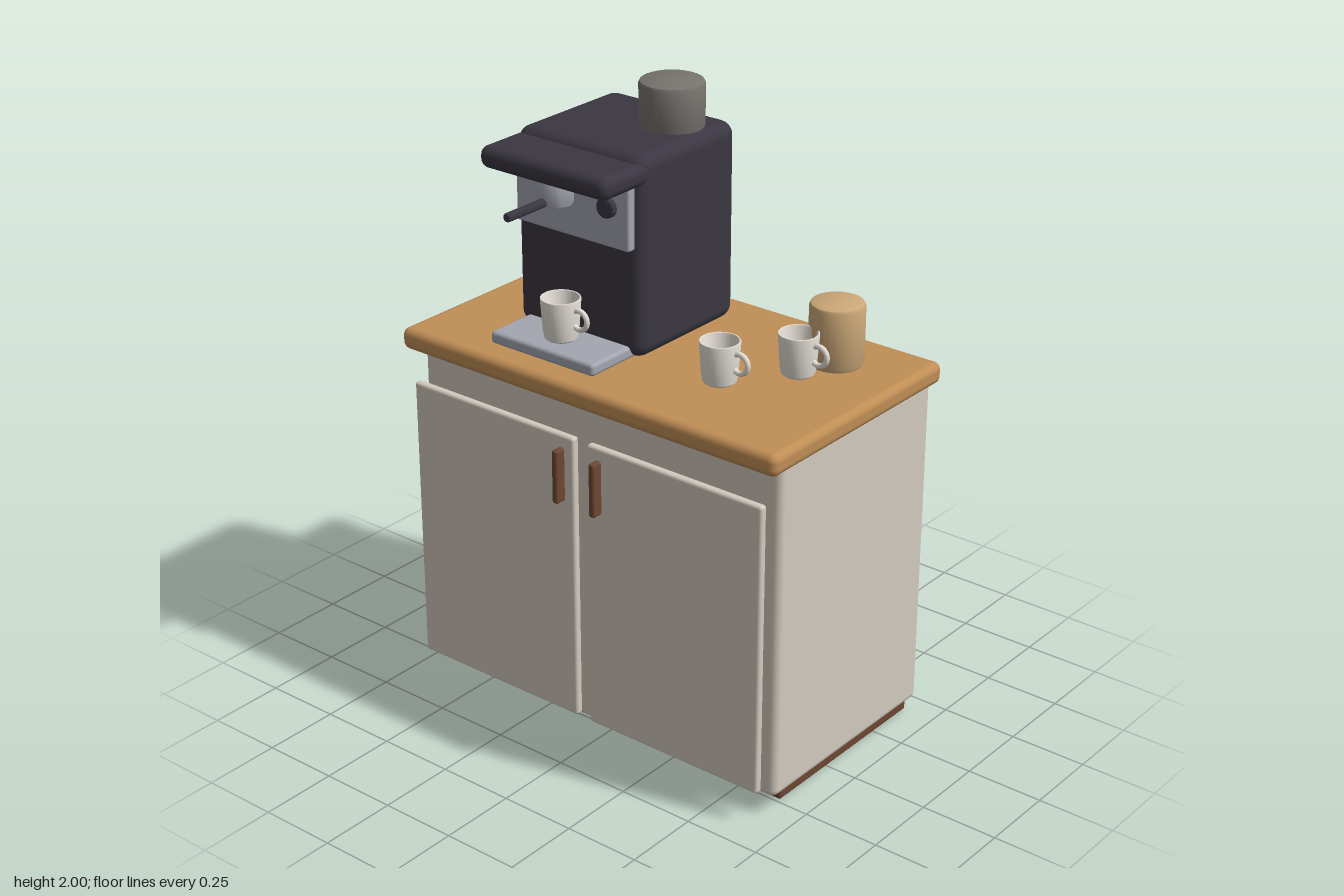
import * as THREE from 'three';
import { RoundedBoxGeometry } from 'three/addons/geometries/RoundedBoxGeometry.js';
import { toCreasedNormals } from 'three/addons/utils/BufferGeometryUtils.js';

const material = (color, options = {}) => new THREE.MeshStandardMaterial({ color, ...options });
const wood = material(0xc08e56);
const cream = material(0xd3cbbf);
const brown = material(0x6e4633);
const dark = material(0x3b3742);
const steel = material(0xa3a6b0);
const smoke = material(0x77746f);
const tan = material(0xcba878);
const china = material(0xe4dfd6, { side: THREE.DoubleSide });
const amber = material(0xd08c22);

function add(parent, name, geometry, mat, x = 0, y = 0, z = 0) {
  const mesh = new THREE.Mesh(geometry, mat);
  mesh.name = name;
  mesh.position.set(x, y, z);
  parent.add(mesh);
  return mesh;
}

// Rounded box given by its limits on each axis
function block(parent, name, mat, [x0, x1], [y0, y1], [z0, z1], radius) {
  const geometry = new RoundedBoxGeometry(x1 - x0, y1 - y0, z1 - z0, 3, radius);
  return add(parent, name, geometry, mat, (x0 + x1) / 2, (y0 + y1) / 2, (z0 + z1) / 2);
}

function lathe(points) {
  const profile = points.map(([r, y]) => new THREE.Vector2(r, y));
  return toCreasedNormals(new THREE.LatheGeometry(profile, 32), 0.6);
}

// Upright cylinder with softened rims, standing on y = 0
function softCylinder(r, h, b) {
  const c = b * 0.3;
  return lathe([
    [0, 0], [r - b, 0], [r - c, c], [r, b],
    [r, h - b], [r - c, h - c], [r - b, h], [0, h],
  ]);
}

function createCup(x, y, z) {
  const cup = new THREE.Group();
  cup.name = 'cup';
  add(cup, 'cupBowl', lathe([
    [0, 0], [0.044, 0], [0.051, 0.006], [0.055, 0.03], [0.062, 0.128], [0.061, 0.132],
    [0.057, 0.132], [0.055, 0.126], [0.048, 0.03], [0.042, 0.014], [0, 0.012],
  ]), china);
  add(cup, 'cupHandle', new THREE.TorusGeometry(0.03, 0.0085, 10, 28), china, 0.072, 0.076, 0);
  cup.position.set(x, y, z);
  return cup;
}

function createCabinet() {
  const cabinet = new THREE.Group();
  cabinet.name = 'cabinet';
  block(cabinet, 'plinth', brown, [-0.645, 0.645], [0, 0.09], [-0.425, 0.24], 0.008);
  block(cabinet, 'carcass', cream, [-0.685, 0.685], [0.06, 1.165], [-0.425, 0.325], 0.025);
  block(cabinet, 'countertop', wood, [-0.713, 0.713], [1.155, 1.225], [-0.44, 0.395], 0.025);
  for (const side of [-1, 1]) {
    const span = (a, b) => [side * a, side * b].sort((p, q) => p - q);
    block(cabinet, 'door', cream, span(0.025, 0.667), [0.105, 1.055], [0.362, 0.39], 0.01);
    block(cabinet, 'doorHandle', brown, span(0.06, 0.082), [0.84, 1.015], [0.38, 0.425], 0.008);
  }
  return cabinet;
}

function createMachine() {
  const machine = new THREE.Group();
  machine.name = 'coffeeMachine';
  block(machine, 'body', dark, [-0.463, 0.025], [1.225, 1.86], [-0.325, 0.137], 0.045);
  block(machine, 'hood', dark, [-0.463, 0.025], [1.77, 1.84], [0.05, 0.295], 0.03);
  block(machine, 'frontPanel', steel, [-0.435, 0], [1.575, 1.785], [0.12, 0.16], 0.008);
  block(machine, 'dripTray', steel, [-0.42, -0.017], [1.225, 1.265], [0.08, 0.308], 0.012);

  // Controls
  block(machine, 'button', amber, [-0.385, -0.35], [1.727, 1.763], [0.15, 0.175], 0.005);
  const knob = add(machine, 'knob', softCylinder(0.032, 0.03, 0.005), dark, -0.075, 1.702, 0.15);
  knob.rotation.x = Math.PI / 2;

  // Brewing head and its handle
  add(machine, 'brewHead', softCylinder(0.055, 0.09, 0.01), steel, -0.22, 1.698, 0.228);
  const grip = add(machine, 'brewHandle', softCylinder(0.014, 0.18, 0.006), dark, -0.22, 1.715, 0.26);
  grip.rotation.x = Math.PI / 2;

  add(machine, 'beanHopper', softCylinder(0.1, 0.15, 0.012), smoke, -0.103, 1.85, -0.168);
  return machine;
}

export function createModel() {
  const model = new THREE.Group();
  model.name = 'coffeeStation';
  model.add(createCabinet(), createMachine());
  add(model, 'canister', softCylinder(0.084, 0.202, 0.014), tan, 0.475, 1.225, -0.225);
  model.add(
    createCup(-0.22, 1.265, 0.212),
    createCup(0.286, 1.225, 0.092),
    createCup(0.43, 1.225, -0.097),
  );
  return model;
}
